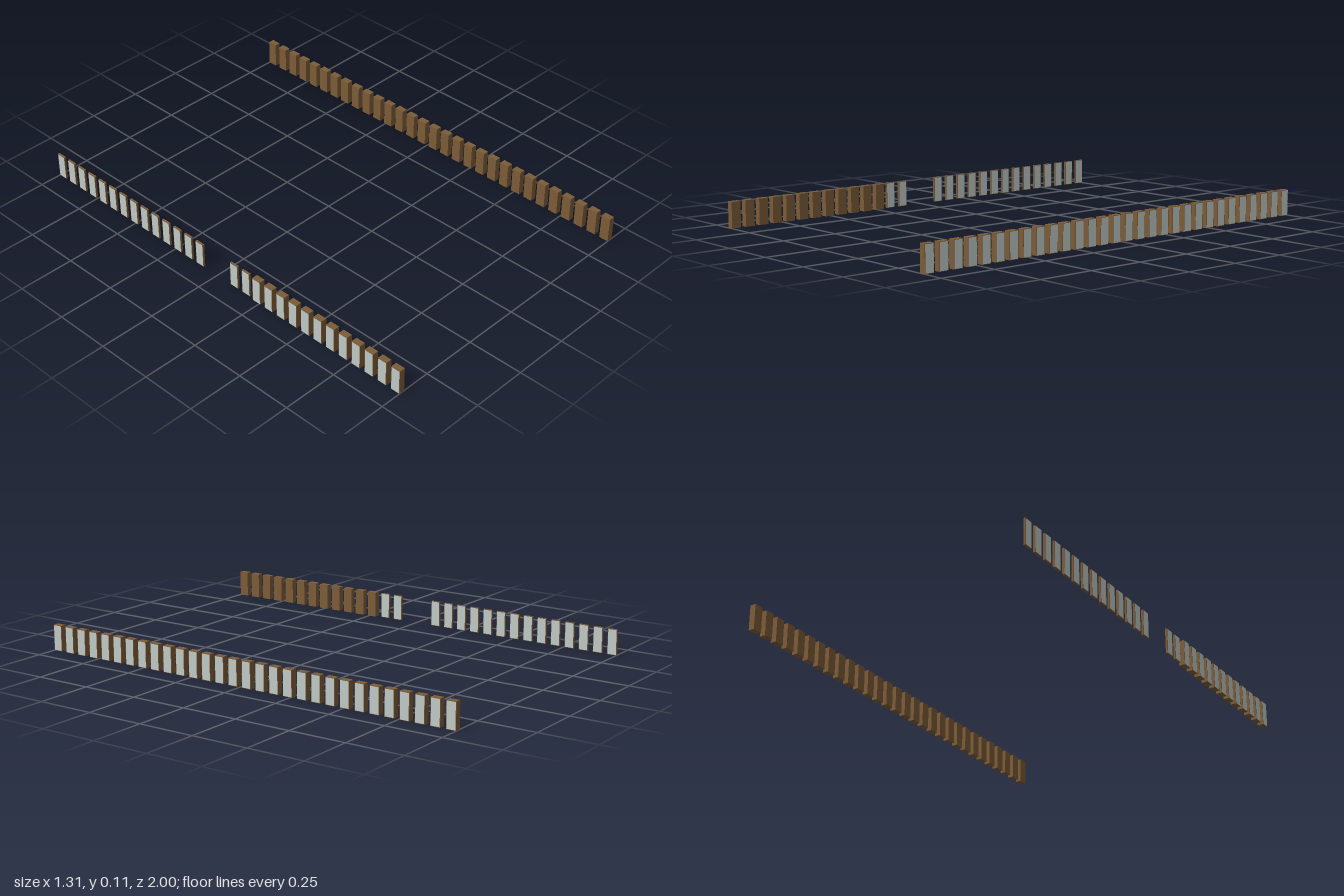
import * as THREE from 'three';

const COUNT = 30, WIDTH = 0.043, HEIGHT = 0.112, DEPTH = 0.027, THIN = 0.009;
const OUTER = 0.656, BORDER = 0.002;
const PITCH = (2 - WIDTH) / (COUNT - 1);

const wood = new THREE.MeshStandardMaterial({ color: 0x7b5b37 });
const glass = new THREE.MeshStandardMaterial({ color: 0xbfc9c5 });
const paneGeometry = new THREE.PlaneGeometry(WIDTH - 2 * BORDER, HEIGHT - 2 * BORDER);

// A wooden block with a glass pane on each listed side (+1 or -1 along x)
function makeWindow(name, depth, paneSides) {
  const group = new THREE.Group();
  group.name = name;
  const frame = new THREE.Mesh(new THREE.BoxGeometry(depth, HEIGHT, WIDTH), wood);
  frame.name = 'windowFrame';
  group.add(frame);
  for (const side of paneSides) {
    const pane = new THREE.Mesh(paneGeometry, glass);
    pane.name = 'windowPane';
    pane.rotation.y = side * Math.PI / 2;
    pane.position.x = side * (depth / 2 + 0.0006);
    group.add(pane);
  }
  return group;
}

export function createModel() {
  const model = new THREE.Group();
  model.name = 'windowRows';
  const leftRow = new THREE.Group();
  leftRow.name = 'leftWindowRow';
  const rightRow = new THREE.Group();
  rightRow.name = 'rightWindowRow';
  model.add(leftRow, rightRow);

  for (let i = 0; i < COUNT; i++) {
    const z = 1 - WIDTH / 2 - i * PITCH;

    // Unbroken row of deep windows, glazed on the outside
    const left = makeWindow('deepWindow', DEPTH, [1]);
    left.position.set(OUTER - DEPTH / 2, HEIGHT / 2, z);
    leftRow.add(left);

    // Opposite row: deep windows in front, a gap, thin two-sided windows behind
    if (i === 14 || i === 15) continue;
    const right = i < 12
      ? makeWindow('deepWindow', DEPTH, [-1])
      : makeWindow('thinWindow', THIN, [-1, 1]);
    right.position.set(-OUTER + DEPTH / 2 - (i < 12 ? 0 : 0.002), HEIGHT / 2, z);
    rightRow.add(right);
  }
  return model;
}
